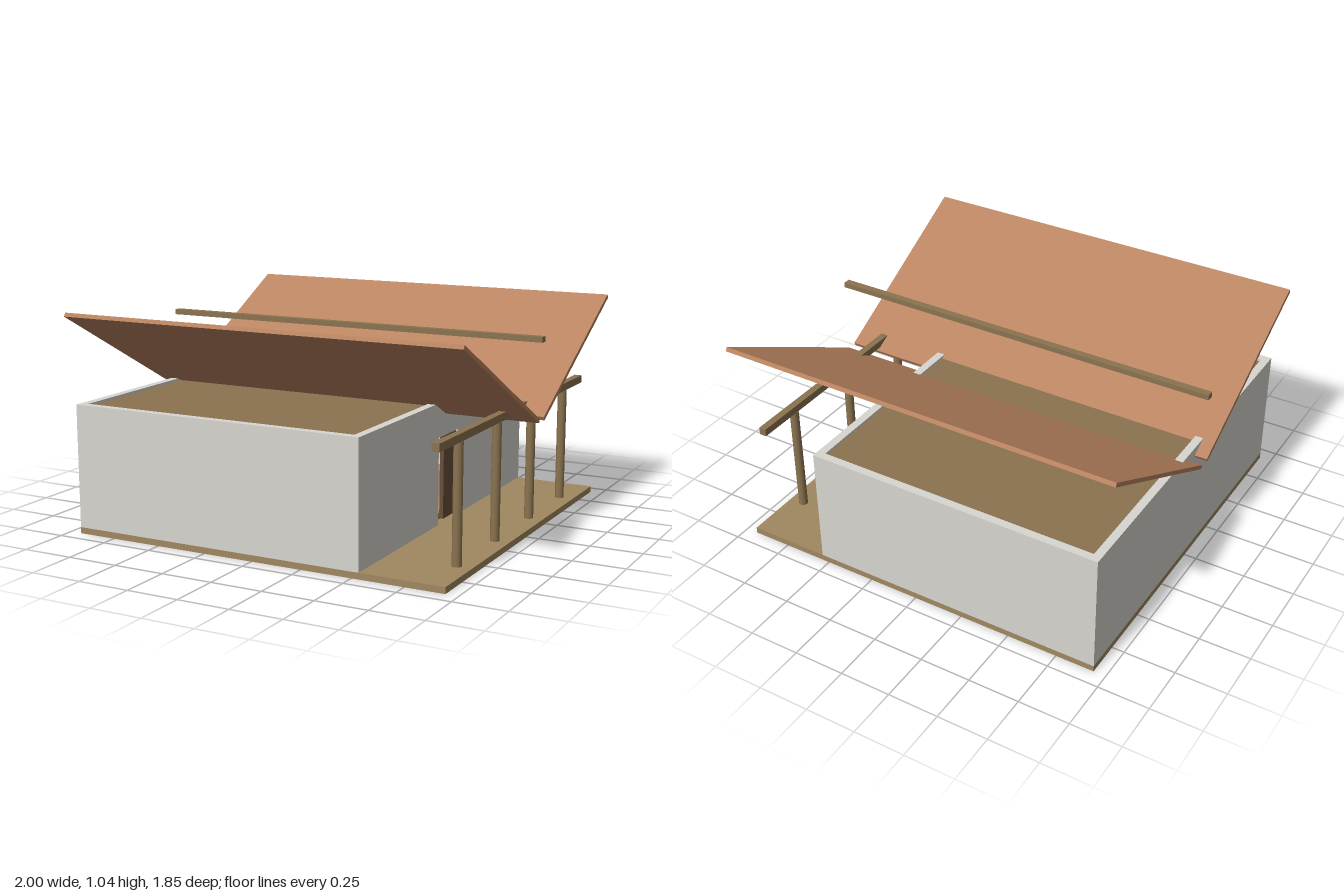
import * as THREE from 'three';

const mat = (color) => new THREE.MeshStandardMaterial({ color });

export function createModel() {
  const house = new THREE.Group();
  house.name = 'house';
  const plaster = mat(0xd8d6d0), timber = mat(0x8b7350), deck = mat(0xa08860);
  const tile = mat(0xba8461), doorWood = mat(0x6b4f3c);

  // Box given by its minimum and maximum on each axis
  const box = (name, material, [x0, x1], [y0, y1], [z0, z1], parent = house) => {
    const mesh = new THREE.Mesh(new THREE.BoxGeometry(x1 - x0, y1 - y0, z1 - z0), material);
    mesh.position.set((x0 + x1) / 2, (y0 + y1) / 2, (z0 + z1) / 2);
    mesh.name = name;
    parent.add(mesh);
    return mesh;
  };

  // Base slab, interior floor and flat ceiling
  box('baseSlab', deck, [-0.94, 0.94], [0, 0.03], [-0.925, 0.925]);
  box('interiorFloor', deck, [-0.9, 0.495], [0.03, 0.06], [-0.885, 0.885]);
  box('ceiling', timber, [-0.9, 0.495], [0.588, 0.608], [-0.885, 0.885]);

  // Walls: three plain ones and an end wall with a doorway
  const walls = new THREE.Group();
  walls.name = 'walls';
  house.add(walls);
  const wallY = [0.03, 0.62];
  box('frontWall', plaster, [-0.94, 0.535], wallY, [0.885, 0.925], walls);
  box('backWall', plaster, [-0.94, 0.535], wallY, [-0.925, -0.885], walls);
  box('leftEndWall', plaster, [-0.94, -0.9], wallY, [-0.885, 0.885], walls);

  const outline = new THREE.Shape();
  [[-0.885, 0.03], [-0.11, 0.03], [-0.11, 0.455], [0.11, 0.455], [0.11, 0.03],
    [0.885, 0.03], [0.885, 0.62], [-0.885, 0.62]]
    .forEach(([u, v], i) => (i ? outline.lineTo(u, v) : outline.moveTo(u, v)));
  const doorWall = new THREE.Mesh(
    new THREE.ExtrudeGeometry(outline, { depth: 0.04, bevelEnabled: false }), plaster);
  doorWall.rotation.y = Math.PI / 2;
  doorWall.position.x = 0.495;
  doorWall.name = 'doorWall';
  walls.add(doorWall);

  // Sliding door panel, partly open
  box('door', doorWood, [0.505, 0.525], [0.04, 0.447], [-0.11, 0.03]);

  // Porch posts and the beam they carry
  for (const z of [-0.645, -0.215, 0.215, 0.645]) {
    const post = new THREE.Mesh(new THREE.CylinderGeometry(0.022, 0.022, 0.555, 16), timber);
    post.position.set(0.867, 0.3075, z);
    post.name = 'porchPost';
    house.add(post);
  }
  box('porchBeam', timber, [0.849, 0.885], [0.585, 0.622], [-0.88, 0.88]);

  // Two roof panels sloping down to the centre
  const inner = [0.03, 0.566], outer = [0.91, 1.034];
  const run = outer[0] - inner[0], rise = outer[1] - inner[1];
  for (const side of [1, -1]) {
    const panel = new THREE.Mesh(new THREE.BoxGeometry(2, 0.02, Math.hypot(run, rise)), tile);
    panel.position.set(0, (inner[1] + outer[1]) / 2, side * (inner[0] + outer[0]) / 2);
    panel.rotation.x = -side * Math.atan2(rise, run);
    panel.name = side > 0 ? 'frontRoofPanel' : 'backRoofPanel';
    house.add(panel);
  }

  // Ridge beam above the valley
  box('ridgeBeam', timber, [-1, 1], [0.926, 0.952], [-0.018, 0.018]);
  return house;
}
